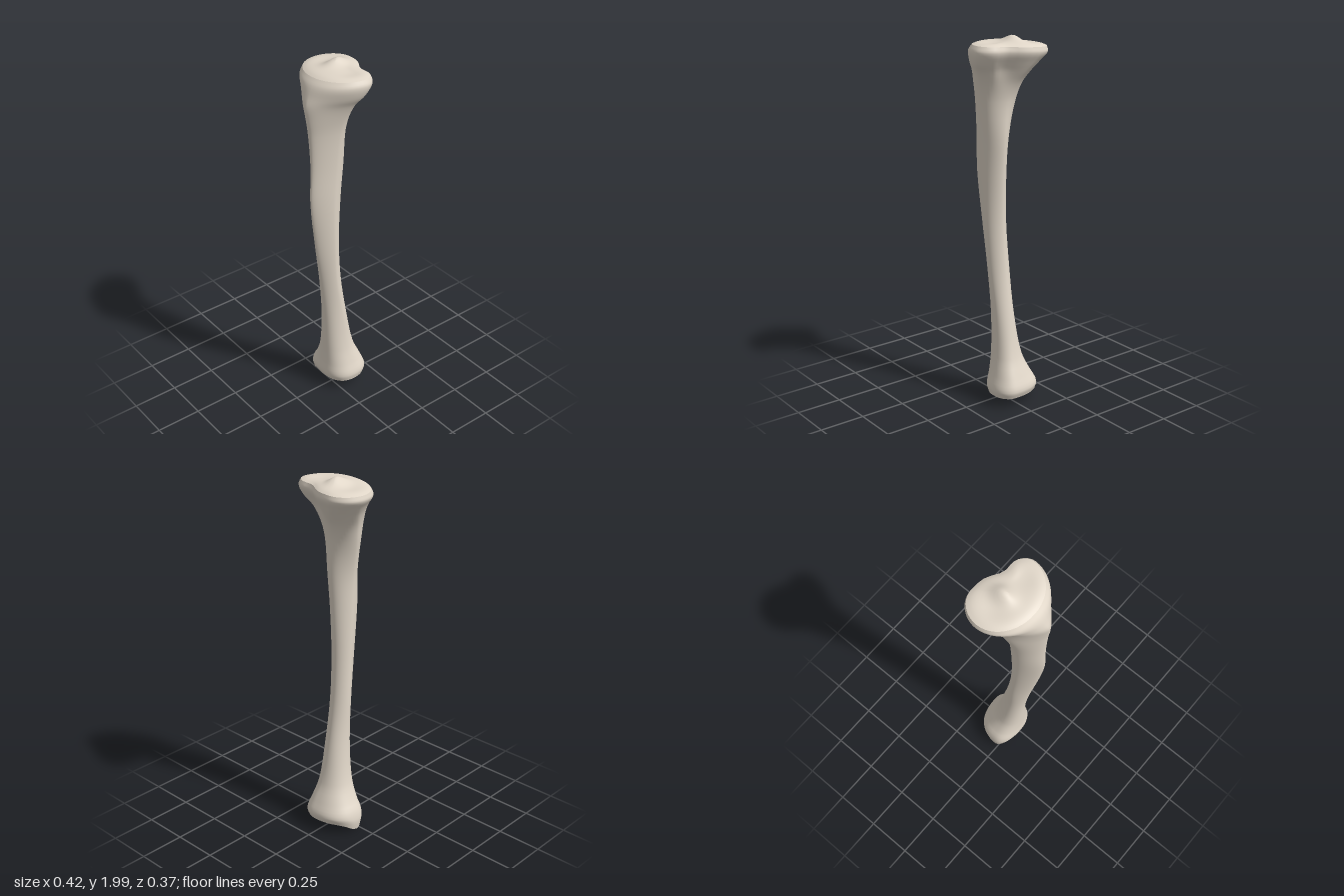
import * as THREE from 'three';

const COLS = 48;
const bump = (x, z, cx, cz, rx, rz) => Math.exp(-(((x - cx) / rx) ** 2) - ((z - cz) / rz) ** 2);
const ramp = (v, a, b) => THREE.MathUtils.smoothstep(v, a, b);

// Cross-sections from top to bottom:
// y, then (x, z) of the outermost lateral, front, medial and back points
const SECTIONS = [
  [1.95, 0.195, -0.05, 0.0, 0.118, -0.205, -0.05, -0.09, -0.18],
  [1.92, 0.211, -0.05, 0.01, 0.145, -0.212, -0.05, -0.09, -0.186],
  [1.87, 0.195, -0.03, 0.02, 0.168, -0.182, -0.04, -0.07, -0.16],
  [1.82, 0.16, 0.0, 0.03, 0.184, -0.15, -0.02, -0.04, -0.128],
  [1.75, 0.132, 0.02, 0.04, 0.179, -0.117, 0.01, -0.01, -0.083],
  [1.66, 0.112, 0.03, 0.045, 0.168, -0.094, 0.03, 0.01, -0.055],
  [1.47, 0.096, 0.04, 0.045, 0.16, -0.052, 0.05, 0.02, -0.046],
  [1.27, 0.09, 0.05, 0.04, 0.164, -0.041, 0.05, 0.02, -0.03],
  [1.0, 0.081, 0.04, 0.03, 0.131, -0.04, 0.04, 0.015, -0.021],
  [0.75, 0.073, 0.02, 0.02, 0.092, -0.047, 0.02, 0.01, -0.038],
  [0.5, 0.07, -0.02, 0.01, 0.063, -0.053, 0.0, 0.01, -0.076],
  [0.27, 0.083, -0.04, 0.0, 0.055, -0.085, -0.02, 0.02, -0.12],
  [0.17, 0.105, -0.06, -0.01, 0.056, -0.126, -0.03, 0.03, -0.16],
  [0.1, 0.125, -0.07, -0.02, 0.06, -0.165, -0.03, 0.03, -0.185],
  [0.062, 0.118, -0.07, -0.02, 0.045, -0.158, -0.03, 0.03, -0.172],
];

// Closed outline through the four outermost points; the front of the shaft is sharper
function outline([y, ...v]) {
  const crest = ramp(y, 0.4, 0.9) * (1 - ramp(y, 1.8, 1.95));
  const boxy = 1 - ramp(y, 0.1, 0.4);
  const points = [];
  for (let i = 0; i < COLS; i++) {
    const q = Math.floor((4 * i) / COLS);
    const t = ((i / COLS) * 4 - q) * Math.PI / 2;
    const e = (q < 2 ? 1 + 0.35 * crest : 1 + 0.15 * crest) - 0.15 * boxy;
    const a = 2 * q, b = (2 * q + 2) % 8;
    const c = Math.cos(t) < 1e-6 ? 0 : Math.cos(t) ** e, s = Math.sin(t) ** e;
    // Even quadrants run from a side point to front or back, odd ones the reverse
    const cx = q % 2 ? v[a] : v[b], cz = q % 2 ? v[b + 1] : v[a + 1];
    points.push(new THREE.Vector3(
      cx + (v[a] - cx) * c + (v[b] - cx) * s, y,
      cz + (v[a + 1] - cz) * c + (v[b + 1] - cz) * s));
  }
  return points;
}

// Local modelling: notch behind the knee, tilted plateau, ankle point
function sculpt(p) {
  const { x, y, z } = p;
  const q = p.clone();
  q.z += 0.035 * ramp(y, 1.65, 1.88) * Math.exp(-(((x - 0.07) / 0.06) ** 2)) * ramp(-z, 0.03, 0.13);
  q.y += 0.05 * x * ramp(y, 1.85, 1.95);
  const low = 1 - ramp(y, 0.05, 0.14);
  q.y -= 0.055 * low * ramp(-x, 0.08, 0.13) * Math.exp(-(((z + 0.03) / 0.065) ** 2));
  return q;
}

// Skin over closed rings, listed from top to bottom
function loft(name, rings, material) {
  const positions = [], index = [];
  rings.forEach((ring) => ring.forEach((p) => positions.push(...sculpt(p).toArray())));
  for (let j = 0; j < rings.length - 1; j++) {
    for (let i = 0; i < COLS; i++) {
      const a = j * COLS + i, b = j * COLS + (i + 1) % COLS;
      index.push(a, b, a + COLS, b, b + COLS, a + COLS);
    }
  }
  const geometry = new THREE.BufferGeometry();
  geometry.setAttribute('position', new THREE.Float32BufferAttribute(positions, 3));
  geometry.setIndex(index);
  geometry.computeVertexNormals();
  const mesh = new THREE.Mesh(geometry, material);
  mesh.name = name;
  return mesh;
}

// Rings shrinking from a rim to a centre, with heights set by a rule
function capRings(rim, cx, cz, height) {
  const rings = [];
  for (let k = 0; k <= 12; k++) {
    const s = 1 - k / 12 + (k === 12 ? 0.001 : 0);
    rings.push(rim.map((p) => {
      const x = cx + (p.x - cx) * s, z = cz + (p.z - cz) * s;
      return new THREE.Vector3(x, p.y + height(x, z, s), z);
    }));
  }
  return rings;
}

export function createModel() {
  const model = new THREE.Group();
  model.name = 'shinBone';
  const bone = new THREE.MeshStandardMaterial({ color: 0xe0d6c8 });

  // Smooth every column of section points along the bone
  const outlines = SECTIONS.map(outline);
  const steps = (SECTIONS.length - 1) * 4;
  const rings = Array.from({ length: steps + 1 }, () => []);
  for (let i = 0; i < COLS; i++) {
    const column = new THREE.CatmullRomCurve3(outlines.map((o) => o[i]));
    column.getPoints(steps).forEach((p, j) => rings[j].push(p));
  }
  model.add(loft('shaft', rings, bone));

  // Knee plateau: two shallow dishes with a raised spine between them
  const plateau = capRings(rings[0], -0.01, -0.03, (x, z, s) =>
    0.017 * (1 - s ** 6)
    + (1 - s ** 4) * (0.032 * bump(x, z, -0.025, -0.05, 0.04, 0.06)
    - 0.01 * bump(x, z, 0.11, -0.03, 0.06, 0.07)
    - 0.008 * bump(x, z, -0.12, -0.04, 0.06, 0.08)));
  model.add(loft('kneePlateau', plateau.reverse(), bone));

  // Ankle joint surface: slightly hollow underside
  const ankle = capRings(rings[steps], -0.02, -0.06, (x, z, s) =>
    -0.01 * (1 - s ** 4) + 0.016 * bump(x, z, -0.03, -0.06, 0.06, 0.06) * (1 - s ** 2));
  model.add(loft('ankleSurface', ankle, bone));
  return model;
}
